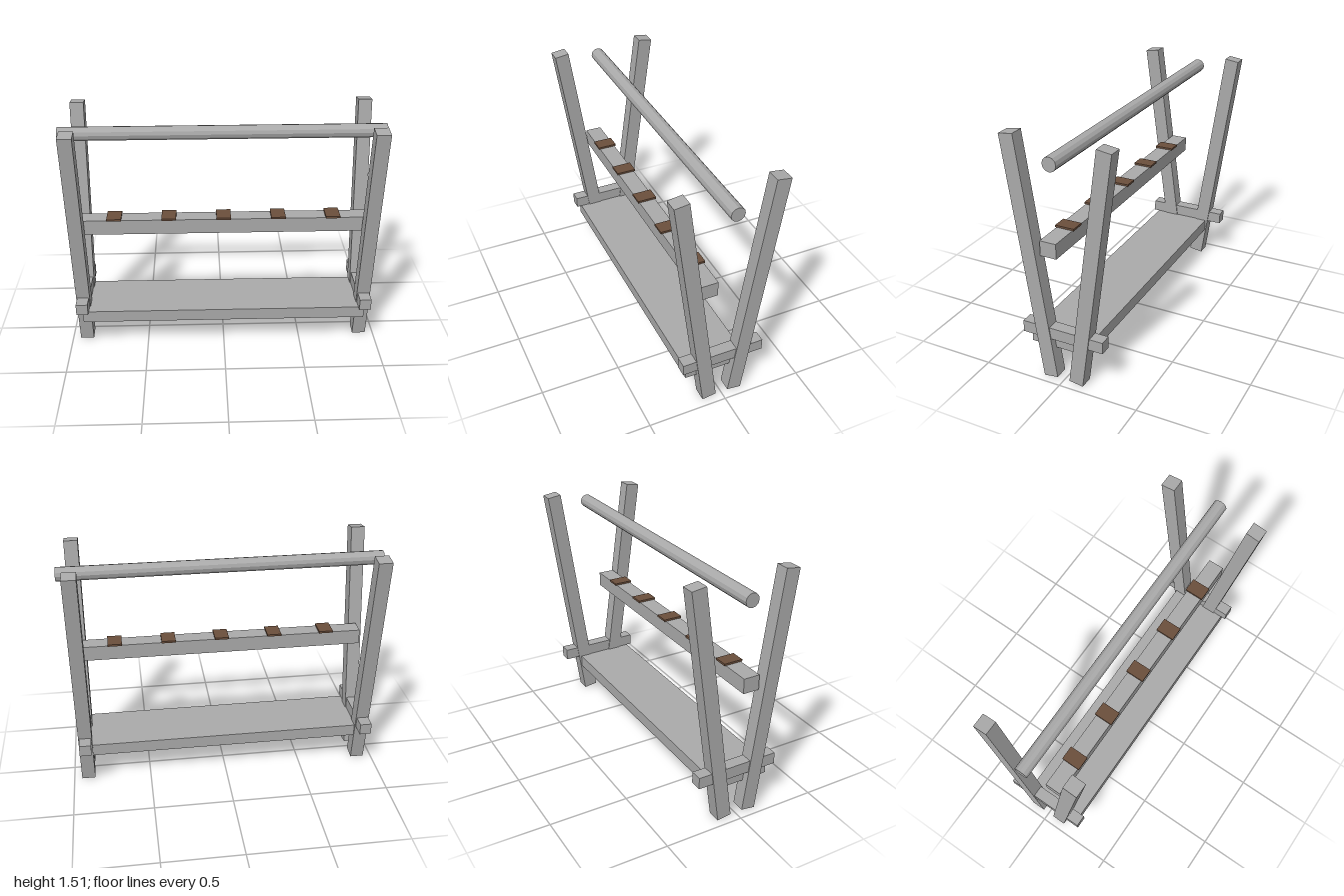
import * as THREE from 'three';

export function createModel() {
  const model = new THREE.Group();
  model.name = 'rack';

  const grey = new THREE.MeshStandardMaterial({ color: 0xaaaaaa });
  grey.name = 'grey timber';
  const brown = new THREE.MeshStandardMaterial({ color: 0x6b4f3c });
  brown.name = 'brown pad';

  const addBox = (name, material, size, position) => {
    const mesh = new THREE.Mesh(new THREE.BoxGeometry(...size), material);
    mesh.name = name;
    mesh.position.set(...position);
    model.add(mesh);
    return mesh;
  };

  const sideX = 0.907;
  for (const side of [1, -1]) {
    const label = side > 0 ? 'left' : 'right';

    // Splayed legs, closer together at the floor
    for (const face of [1, -1]) {
      const name = label + (face > 0 ? 'FrontLeg' : 'BackLeg');
      const leg = addBox(name, grey, [0.086, 1.513, 0.09], [side * sideX, 0.756, face * 0.19]);
      leg.rotation.x = face * 0.14;
    }

    // Short bar tying each pair of legs together
    addBox(label + 'CrossBar', grey, [0.074, 0.073, 0.524], [side * sideX, 0.3055, 0]);
  }

  // Wide bottom shelf
  addBox('shelf', grey, [1.814, 0.077, 0.378], [0, 0.2305, 0.039]);

  // Middle beam with its row of pads
  addBox('beam', grey, [1.814, 0.095, 0.104], [0, 0.8325, 0.092]);
  for (let i = -2; i <= 2; i++) {
    addBox('pad', brown, [0.09, 0.013, 0.122], [i * 0.34, 0.8855, 0.092]);
  }

  // Faceted top pole
  const poleMaterial = grey.clone();
  poleMaterial.name = 'grey pole';
  poleMaterial.flatShading = true;
  const pole = new THREE.Mesh(new THREE.CylinderGeometry(0.043, 0.043, 2, 12), poleMaterial);
  pole.name = 'topPole';
  pole.rotation.z = Math.PI / 2;
  pole.position.y = 1.4;
  model.add(pole);

  return model;
}
